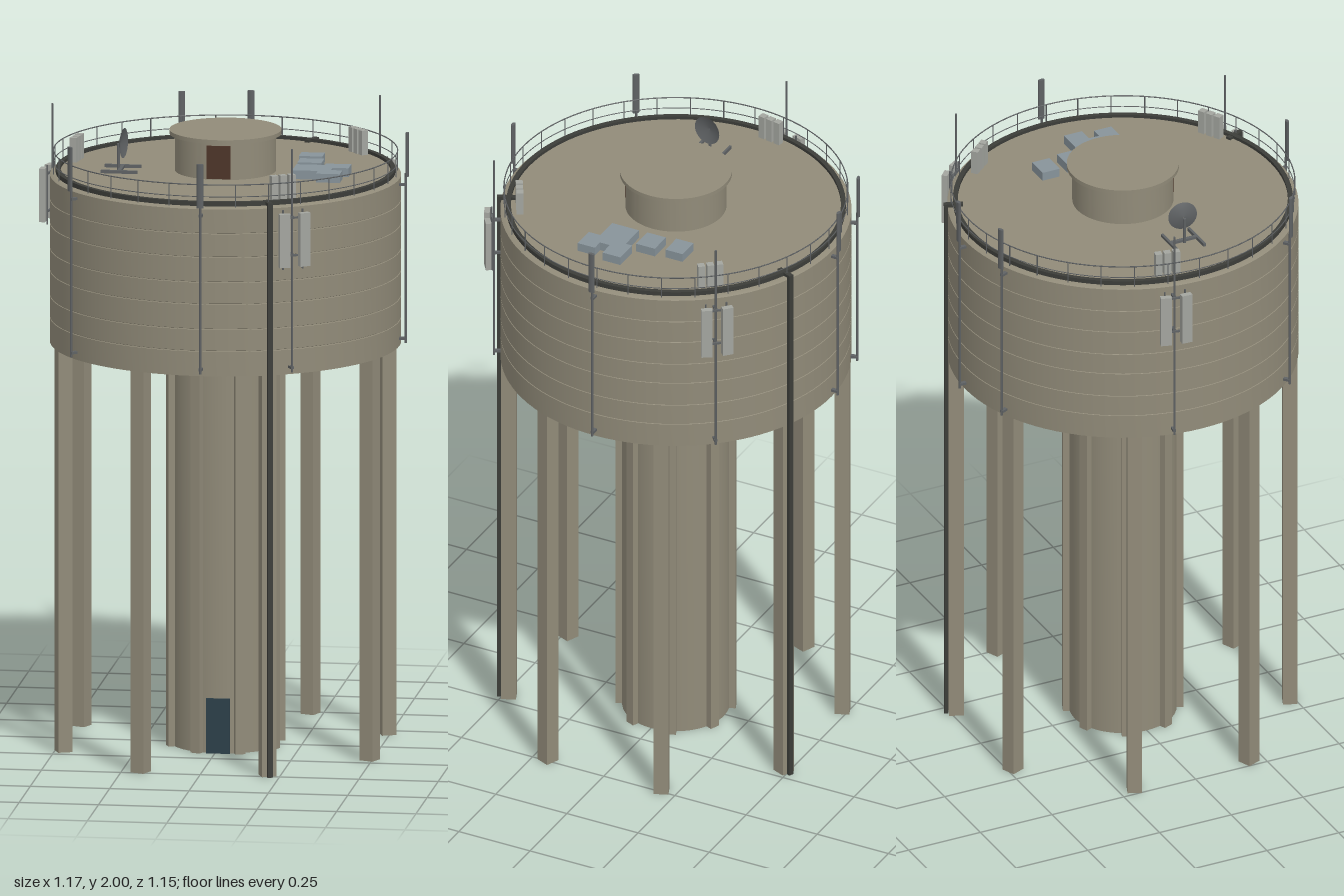
import * as THREE from 'three';
import { toCreasedNormals } from 'three/addons/utils/BufferGeometryUtils.js';

const mat = (color) => new THREE.MeshStandardMaterial({ color, side: THREE.DoubleSide });
const concrete = mat(0x918b79), dark = mat(0x3c3d39), under = mat(0x55534a);
const steel = mat(0x5f6264), panelGrey = mat(0xa3a59f), blueGrey = mat(0x87939a);
const doorBlue = mat(0x2c3f49), doorBrown = mat(0x4d3428);

function add(parent, name, geometry, material, x = 0, y = 0, z = 0) {
  const mesh = new THREE.Mesh(geometry, material);
  mesh.name = name;
  mesh.position.set(x, y, z);
  parent.add(mesh);
  return mesh;
}

// Box given by its size, centred in x and z, with its underside at y
const box = (parent, name, material, w, h, d, x, y, z) =>
  add(parent, name, new THREE.BoxGeometry(w, h, d), material, x, y + h / 2, z);

// Upright round bar between two heights
const bar = (parent, name, material, r, y0, y1, x, z, sides = 8) =>
  add(parent, name, new THREE.CylinderGeometry(r, r, y1 - y0, sides), material, x, (y0 + y1) / 2, z);

// Turned solid from [radius, height] points, running outward, up, and back in
function turned(parent, name, material, points, segments = 96) {
  const lathe = new THREE.LatheGeometry(points.map(([r, y]) => new THREE.Vector2(r, y)), segments);
  return add(parent, name, toCreasedNormals(lathe, 0.5), material);
}

// Group turned about the tower axis, so that its local +z points outward
function spoke(parent, name, degrees) {
  const group = new THREE.Group();
  group.name = name;
  group.rotation.y = THREE.MathUtils.degToRad(degrees);
  parent.add(group);
  return group;
}

function ring(parent, name, material, radius, tube, y) {
  const mesh = add(parent, name, new THREE.TorusGeometry(radius, tube, 5, 96), material, 0, y, 0);
  mesh.rotation.x = Math.PI / 2;
}

function buildTank(tower) {
  // Wall with shallow formwork joints
  const wall = [[0.525, 1.33], [0.525, 1.28], [0.548, 1.28]];
  for (const y of [1.36, 1.43, 1.51, 1.58, 1.66, 1.735]) {
    wall.push([0.548, y - 0.002], [0.546, y - 0.001], [0.546, y + 0.001], [0.548, y + 0.002]);
  }
  wall.push([0.548, 1.812], [0.535, 1.818], [0.525, 1.818]);
  turned(tower, 'tankWall', concrete, wall);
  turned(tower, 'tankUnderside', under, [[0, 1.325], [0.527, 1.325]]);
  turned(tower, 'roofKerb', dark, [[0.53, 1.812], [0.53, 1.832], [0.515, 1.832], [0.515, 1.812]]);
  turned(tower, 'roof', concrete, [[0.52, 1.822], [0, 1.826]]);

  // Roof house with overhanging lid
  turned(tower, 'roofHouse', concrete, [[0.158, 1.82], [0.158, 1.942], [0.175, 1.942], [0.175, 1.955], [0, 1.956]]);
  box(tower, 'roofHouseDoor', doorBrown, 0.075, 0.105, 0.02, 0, 1.828, 0.15);
}

function buildSupports(tower) {
  turned(tower, 'column', concrete, [[0, 0], [0.168, 0], [0.168, 1.325]], 64);
  box(tower, 'door', doorBlue, 0.074, 0.175, 0.02, 0, 0, 0.163);
  for (let i = 0; i < 8; i++) {
    const bay = spoke(tower, 'supportBay', 22.5 + i * 45);
    box(bay, 'leg', concrete, 0.046, 1.325, 0.046, 0, 0, 0.522);
    box(bay, 'pilaster', concrete, 0.032, 1.325, 0.035, 0, 0, 0.171);
    box(bay, 'radialBeam', concrete, 0.032, 0.042, 0.35, 0, 1.284, 0.345);
  }
  // Cable ducts up two of the legs
  for (const degrees of [22.5, 157.5]) {
    const duct = spoke(tower, 'cableDuct', degrees);
    box(duct, 'cableTray', dark, 0.016, 1.82, 0.012, 0, 0, 0.553);
    box(duct, 'cableTop', dark, 0.016, 0.01, 0.06, 0, 1.82, 0.53);
  }
}

function buildRailing(tower) {
  ring(tower, 'topRail', steel, 0.537, 0.002, 1.888);
  ring(tower, 'middleRail', steel, 0.537, 0.0015, 1.85);
  for (let i = 0; i < 32; i++) {
    const a = (i / 32) * Math.PI * 2;
    bar(tower, 'railPost', steel, 0.0018, 1.812, 1.888, 0.537 * Math.sin(a), 0.537 * Math.cos(a), 5);
  }
}

function buildAntennas(tower) {
  // Poles with a slim blade on top
  for (const degrees of [0, 90, 180, -50, 201.8]) {
    const mast = spoke(tower, 'bladeAntenna', degrees);
    bar(mast, 'pole', steel, 0.004, 1.29, 1.83, 0, 0.568);
    const blade = bar(mast, 'blade', steel, 0.011, 1.82, 1.96, 0, 0.572, 12);
    blade.scale.z = 0.5;
    for (const y of [1.3, 1.79]) box(mast, 'bracket', steel, 0.012, 0.008, 0.025, 0, y, 0.557);
  }
  // Whips carrying two panels, with three cabinets on the roof behind
  for (const degrees of [29.4, 130, -100]) {
    const mast = spoke(tower, 'panelAntenna', degrees);
    bar(mast, 'whip', steel, 0.0035, 1.29, 2, 0, 0.568);
    for (const y of [1.3, 1.66, 1.78]) {
      box(mast, 'bracket', steel, 0.01, 0.008, 0.026, 0, y, 0.557);
      if (y > 1.5) box(mast, 'crossArm', steel, 0.07, 0.006, 0.006, 0, y, 0.573);
    }
    for (const side of [-1, 1]) {
      const panel = box(mast, 'panel', panelGrey, 0.035, 0.17, 0.018, side * 0.033, 1.63, 0.588);
      panel.rotation.y = side * 0.12;
      bar(mast, 'panelPipe', steel, 0.003, 1.62, 1.81, side * 0.033, 0.574, 6);
    }
    for (const x of [-0.029, 0, 0.029]) box(mast, 'cabinet', panelGrey, 0.022, 0.078, 0.022, x, 1.825, 0.488);
  }
}

function buildRoofEquipment(tower) {
  // Low hatches: x, z, width, depth
  const hatches = [
    [0.252, -0.143, 0.074, 0.06], [0.262, -0.048, 0.076, 0.066], [0.27, 0.06, 0.09, 0.094],
    [0.355, 0.022, 0.08, 0.063], [0.33, 0.07, 0.03, 0.05], [0.343, 0.118, 0.075, 0.06],
  ];
  for (const [x, z, w, d] of hatches) box(tower, 'hatch', blueGrey, w, 0.028, d, x, 1.824, z);

  // Dish standing on two skids
  for (const z of [0.005, 0.097]) box(tower, 'dishSkid', steel, 0.115, 0.01, 0.008, -0.322, 1.824, z);
  box(tower, 'dishBase', steel, 0.012, 0.008, 0.095, -0.322, 1.826, 0.051);
  bar(tower, 'dishPost', steel, 0.005, 1.825, 1.91, -0.33, 0.051);
  const bowl = [[0.001, 0], [0.025, 0.003], [0.047, 0.011]].map(([r, y]) => new THREE.Vector2(r, y));
  const dish = add(tower, 'dish', new THREE.LatheGeometry(bowl, 32), steel, -0.324, 1.912, 0.051);
  dish.rotation.set(0, -0.15, -Math.PI / 2);
  dish.rotation.order = 'YXZ';
}

export function createModel() {
  const model = new THREE.Group();
  model.name = 'waterTower';
  const tower = new THREE.Group();
  tower.name = 'tower';
  tower.position.x = 0.01;
  model.add(tower);
  buildTank(tower);
  buildSupports(tower);
  buildRailing(tower);
  buildAntennas(tower);
  buildRoofEquipment(tower);
  return model;
}
